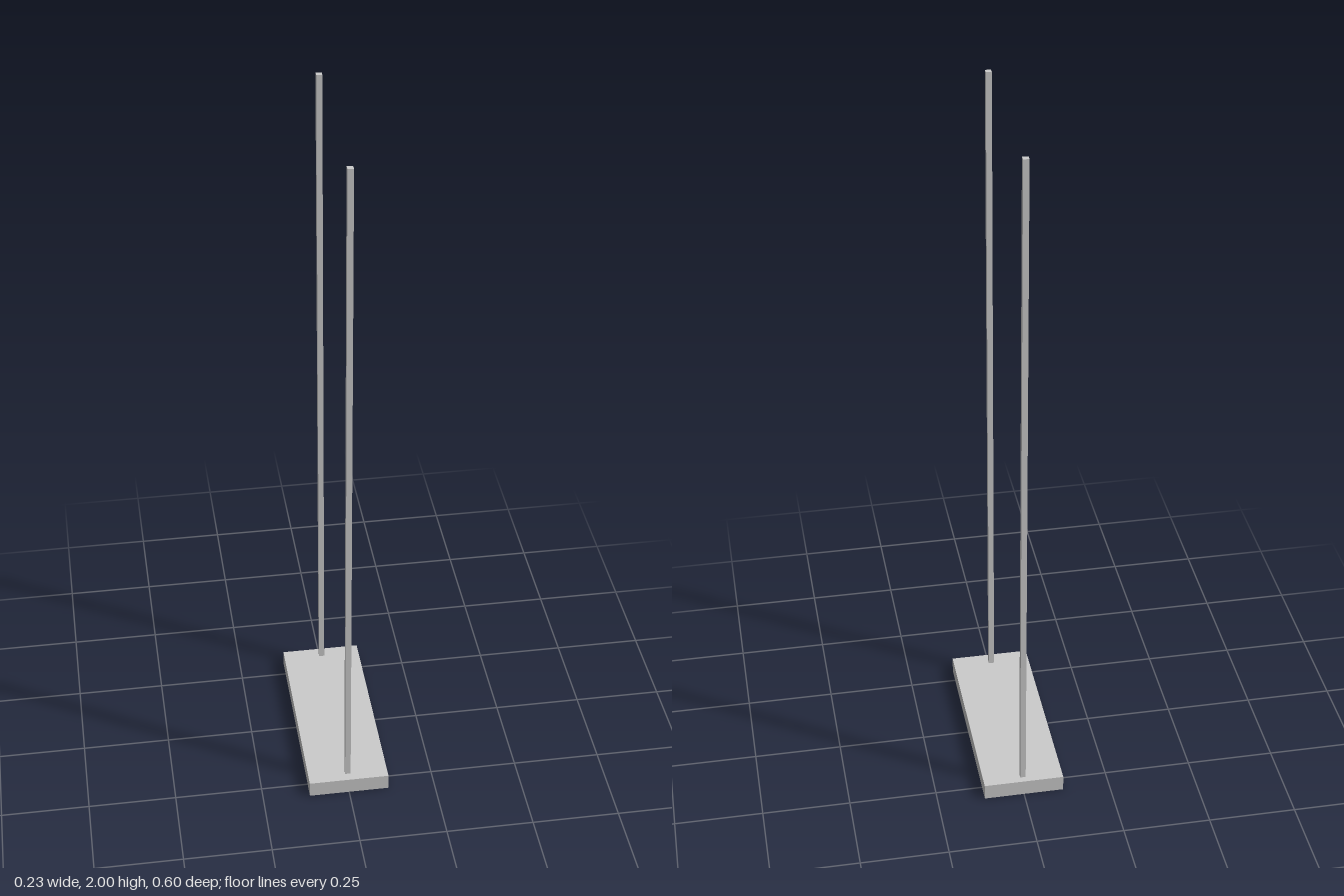
import * as THREE from 'three';

export function createModel() {
  const group = new THREE.Group();
  const material = new THREE.MeshStandardMaterial({ color: 0xcccccc, flatShading: true });

  // Adds a box standing on height y
  function addBox(name, width, height, depth, y, z) {
    const mesh = new THREE.Mesh(new THREE.BoxGeometry(width, height, depth), material);
    mesh.name = name;
    mesh.position.set(0, y + height / 2, z);
    group.add(mesh);
  }

  const seatHeight = 0.047;
  const ropeWidth = 0.016;

  // Flat swing board
  addBox('seat', 0.23, seatHeight, 0.598, 0, 0);

  // Square hanging ropes, one near each end of the board
  for (const [name, z] of [['frontRope', 0.265], ['backRope', -0.272]]) {
    addBox(name, ropeWidth, 2 - seatHeight, ropeWidth, seatHeight, z);
  }

  return group;
}
